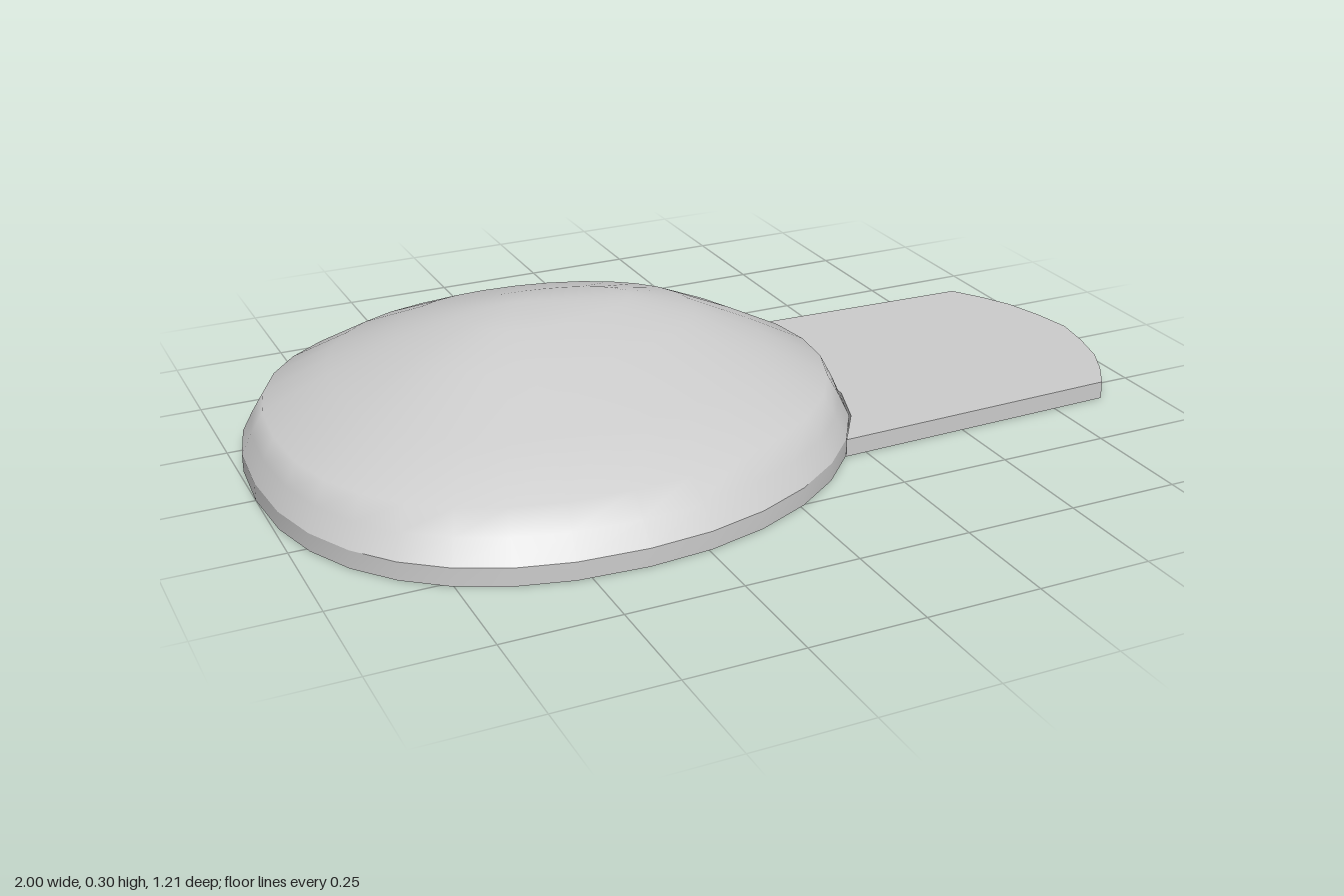
import * as THREE from 'three';

const CX = -0.38; // widest point of the crown
const SEG = 32;

// Egg-shaped rings: [height, radius to -x, radius to +x, half depth, z of centre]
const RIM = [
  [0, 0.62, 0.7, 0.605, 0],
  [0.04, 0.62, 0.7, 0.605, 0],
];
const CROWN = [
  [0.04, 0.62, 0.7, 0.605, 0],
  [0.085, 0.597, 0.682, 0.573, -0.005],
  [0.13, 0.57, 0.66, 0.54, -0.01],
  [0.187, 0.42, 0.54, 0.415, -0.05],
  [0.25, 0.26, 0.4, 0.245, -0.075],
  [0.282, 0.12, 0.26, 0.11, -0.09],
  [0.3, 0, 0, 0, -0.1],
];
const LINING = [
  [0, 0.62, 0.7, 0.605, 0],
  [0.055, 0.53, 0.62, 0.51, -0.01],
  [0.13, 0.4, 0.5, 0.375, -0.04],
  [0.195, 0.25, 0.36, 0.23, -0.07],
  [0.235, 0.11, 0.22, 0.1, -0.09],
  [0.25, 0, 0, 0, -0.1],
];

function ringPoint([y, left, right, depth, cz], i) {
  const t = (i / SEG) * Math.PI * 2;
  const c = Math.cos(t), s = Math.sin(t);
  // the -x half is a little squarer than the +x half
  const p = c < 0 ? 2 / 2.3 : 1;
  const x = Math.sign(c) * Math.abs(c) ** p * (c < 0 ? left : right);
  const z = Math.sign(s) * Math.abs(s) ** p * depth;
  return [CX + x, y, cz + z];
}

// Skin between rings; inward turns the faces towards the inside
function loft(rings, inward = false) {
  const pos = [], index = [];
  const tri = (a, b, c) => index.push(a, ...(inward ? [c, b] : [b, c]));
  rings.forEach((ring) => {
    for (let i = 0; i < SEG; i++) pos.push(...ringPoint(ring, i));
  });
  for (let j = 0; j < rings.length - 1; j++) {
    for (let i = 0; i < SEG; i++) {
      const a = j * SEG + i, b = j * SEG + ((i + 1) % SEG);
      tri(a, a + SEG, b);
      if (rings[j + 1][3] > 0) tri(b, a + SEG, b + SEG);
    }
  }
  const geo = new THREE.BufferGeometry();
  geo.setAttribute('position', new THREE.Float32BufferAttribute(pos, 3));
  geo.setIndex(index);
  return geo;
}

// Smooth normals, with one shared direction at the closed tip
function smooth(geo, tipY) {
  geo.computeVertexNormals();
  const n = geo.attributes.normal;
  for (let i = n.count - SEG; i < n.count; i++) n.setXYZ(i, 0, tipY, 0);
  return geo;
}

export function createModel() {
  const group = new THREE.Group();
  const mat = new THREE.MeshStandardMaterial({ color: 0xcccccc });
  const add = (name, geo) => {
    const mesh = new THREE.Mesh(geo, mat);
    mesh.name = name;
    group.add(mesh);
  };

  // crown with a small dent at the back
  const crown = loft(CROWN);
  const p = crown.attributes.position;
  const back = SEG + SEG * 0.75;
  p.setZ(back, p.getZ(back) + 0.06);
  add('crown', smooth(crown, 1));

  // shallow hollow underneath, meeting the outside at the bottom edge
  add('lining', smooth(loft(LINING, true), -1));

  // upright band around the opening
  const rim = loft(RIM);
  rim.computeVertexNormals();
  add('rimBand', rim);

  // flat visor whose inner edge follows the crown
  const outer = [[0.2, 0.34], [0.88, 0.32], [0.925, 0.25], [0.96, 0.18], [0.985, 0.09], [1, 0]];
  const inner = [[0.32, 0], [0.31, 0.12], [0.27, 0.235]];
  const mirror = (pts) => pts.map(([x, z]) => [x, -z]).reverse();
  const outline = [
    ...outer, ...mirror(outer).slice(1),
    ...mirror(inner).slice(0, -1), ...inner,
  ].map(([x, z]) => new THREE.Vector2(x, z));
  const visor = new THREE.ExtrudeGeometry(new THREE.Shape(outline), { depth: 0.04, bevelEnabled: false });
  visor.rotateX(-Math.PI / 2);
  add('visor', visor);

  return group;
}
